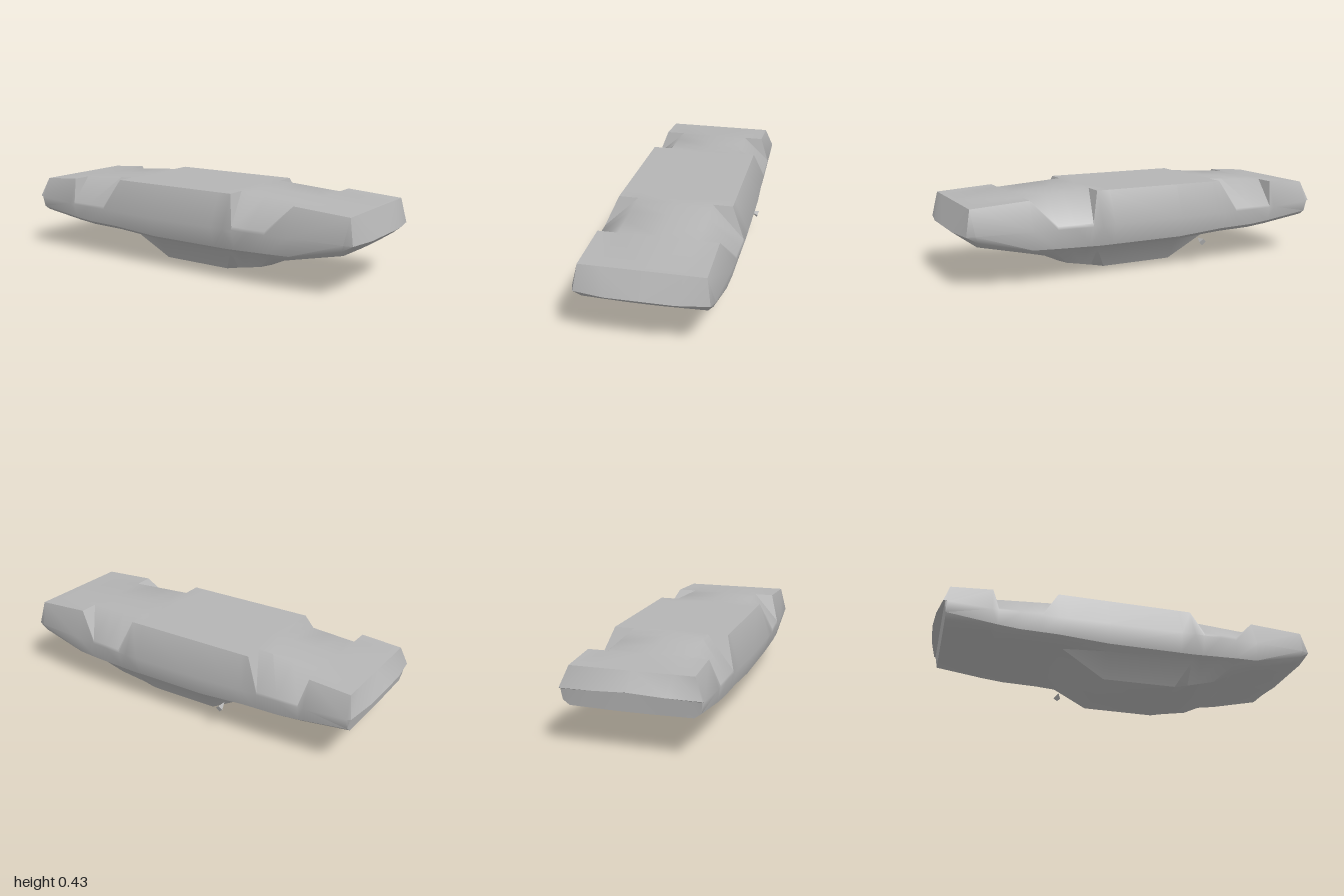
import * as THREE from 'three';
import { toCreasedNormals } from 'three/addons/utils/BufferGeometryUtils.js';

const paint = new THREE.MeshStandardMaterial({ color: 0xb4b4b4 });
paint.name = 'grey';

// A value that runs straight between a few [z, value] stops, listed nose to tail
const profile = (...stops) => (z) => {
  const i = Math.max(1, stops.findIndex(([stopZ]) => stopZ <= z));
  const [z0, v0] = stops[i - 1], [z1, v1] = stops[i];
  return THREE.MathUtils.mapLinear(z, z0, z1, v0, v1);
};

// Lines that run along the body, which lies on its roof
const floorY = profile([0.95, 0.39], [0.31, 0.43], [-0.4, 0.43], [-0.94, 0.39]);
const flankX = profile([0.95, 0.325], [0.66, 0.345], [0.31, 0.36], [-0.14, 0.356], [-0.4, 0.344], [-0.94, 0.332]);
const flankY = profile([0.95, 0.267], [-0.2, 0.265], [-0.73, 0.272], [-0.94, 0.285]);
const shoulderX = profile([0.95, 0.312], [0.54, 0.33], [-0.14, 0.33], [-0.94, 0.32]);
const beltY = profile([0.95, 0.211], [0.66, 0.152], [0.31, 0.14], [-0.14, 0.142], [-0.4, 0.16], [-0.63, 0.165], [-0.94, 0.208]);
const roofX = profile([0.95, 0.18], [0.66, 0.2], [0.54, 0.24], [0.31, 0.21], [-0.14, 0.205], [-0.36, 0.23], [-0.4, 0.2], [-0.94, 0.18]);
const roofEdgeY = profile([0.95, 0.208], [0.66, 0.15], [0.54, 0.115], [0.45, 0.07], [0.24, 0.025], [-0.14, 0.025], [-0.36, 0.155], [-0.63, 0.16], [-0.94, 0.206]);
const roofY = profile([0.95, 0.205], [0.66, 0.146], [0.45, 0.052], [0.24, 0.003], [-0.14, 0], [-0.36, 0.152], [-0.63, 0.156], [-0.94, 0.204]);

const ARCH_INNER = 0.19;
const inArch = (z) => (z < 0.6 && z > 0.33) || (z < -0.45 && z > -0.72);

// Half cross-section from floor centre round to roof centre; zLow shifts the lower part
function section(z, zLow = z) {
  const edge = inArch(z) ? [flankX(z) - 0.003, 0.283] : [0.29, floorY(z)];
  const belt = beltY(z), roof = roofY(z), roofEdge = roofEdgeY(z);
  return [
    [0, floorY(z), z],
    [ARCH_INNER, floorY(z), z],
    [...edge, z],
    [flankX(z), flankY(z), (z + zLow) / 2],
    [shoulderX(z), belt + 0.023, zLow],
    [0.288, belt, zLow],
    [roofX(z), roofEdge, zLow],
    [roofX(z) / 2, roof + (roofEdge - roof) * 0.25, zLow],
    [0, roof, zLow],
  ];
}

// Nose edge, and the tail lip with its set-back underside
const nosePoint = (x) => [x, 0.265, 1 - Math.max(0, x - 0.16) * 0.167];
const lipPoint = (x) => [x, 0.31 - 0.06 * x, -1 + 0.3 * x * x];
const underPoint = (x) => [x, 0.295 - 0.03 * x, -0.96];
const tailUnder = [0.325, 0.29, 0.17, 0.085, 0].map(underPoint);

const stations = [
  [0, 0.16, 0.31, 0.31, 0.31, 0.27, 0.16, 0.08, 0].map(nosePoint),
  section(0.95, 0.92),
  ...[0.66, 0.54, 0.45, 0.36, 0.31, 0.24, -0.14, -0.36, -0.4, -0.48, -0.59, -0.7, -0.73].map((z) => section(z)),
  section(-0.94, -0.95),
  [...[0, 0.17, 0.33, 0.33].map(lipPoint), ...tailUnder],
  [...[0, 0.17, 0.325, 0.325].map(underPoint), ...tailUnder],
];

// Skins the mirrored sections
function loft(rows) {
  const rings = rows.map((half) => [
    ...half,
    ...half.slice(1, -1).reverse().map(([x, y, z]) => [-x, y, z]),
  ].map((p) => new THREE.Vector3(...p)));
  const n = rings[0].length;
  const points = [];
  const triangle = (a, b, c) => {
    const area = b.clone().sub(a).cross(c.clone().sub(a)).length();
    if (area > 1e-7) points.push(a, b, c);
  };
  for (let i = 0; i < rings.length - 1; i++) {
    // The diagonal turns where a strip leaves an arch, and on the mirrored side
    const leavesArch = inArch(rings[i][0].z) && !inArch(rings[i + 1][0].z);
    for (let j = 0; j < n; j++) {
      const k = (j + 1) % n;
      const a = rings[i][j], b = rings[i][k], c = rings[i + 1][k], d = rings[i + 1][j];
      if (leavesArch !== (j >= n / 2)) {
        triangle(a, b, d);
        triangle(b, c, d);
      } else {
        triangle(a, b, c);
        triangle(a, c, d);
      }
    }
  }
  return toCreasedNormals(new THREE.BufferGeometry().setFromPoints(points), 0.75);
}

export function createModel() {
  const group = new THREE.Group();
  group.name = 'overturnedCarBody';

  const body = new THREE.Mesh(loft(stations), paint);
  body.name = 'bodyShell';
  group.add(body);

  // Small wedge mirror on one side only
  const wedge = toCreasedNormals(new THREE.ConeGeometry(0.019, 0.05, 4), 0.3);
  const mirror = new THREE.Mesh(wedge, paint);
  mirror.name = 'sideMirror';
  mirror.rotation.z = Math.PI / 2 - 0.3;
  mirror.position.set(0.319, 0.131, -0.27);
  group.add(mirror);

  return group;
}
